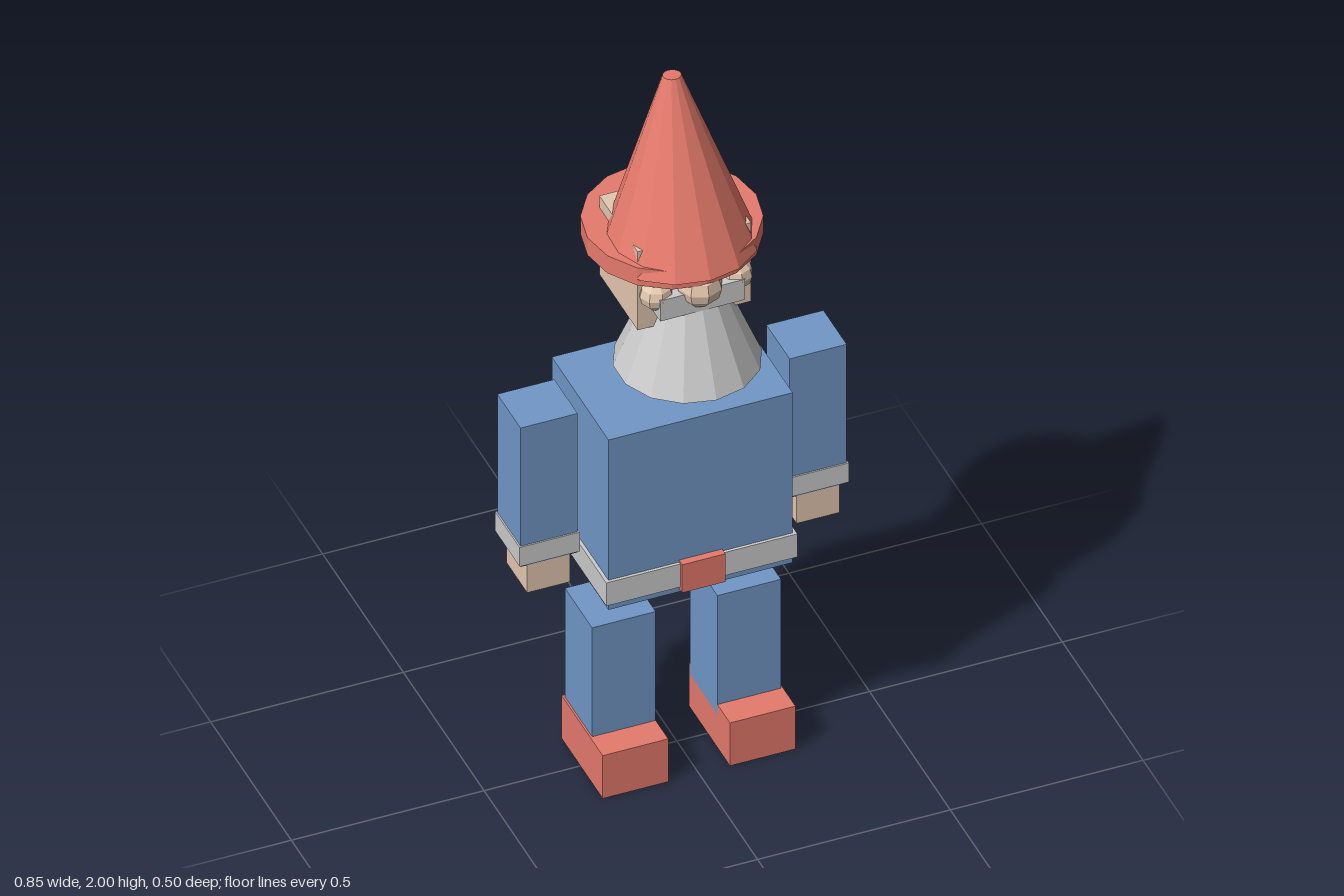
import * as THREE from 'three';

const mat = (color) => new THREE.MeshStandardMaterial({ color, flatShading: true });

export function createModel() {
  const model = new THREE.Group();
  const red = mat(0xe57a6c), blue = mat(0x7197c6), skin = mat(0xe4c8b0), grey = mat(0xcccccc);

  const add = (name, geometry, material, x, y, z) => {
    const mesh = new THREE.Mesh(geometry, material);
    mesh.name = name;
    mesh.position.set(x, y, z);
    model.add(mesh);
    return mesh;
  };
  // Box given by its lower and upper limits on each axis
  const box = (name, material, [x0, x1], [y0, y1], [z0, z1]) =>
    add(name, new THREE.BoxGeometry(x1 - x0, y1 - y0, z1 - z0), material,
      (x0 + x1) / 2, (y0 + y1) / 2, (z0 + z1) / 2);

  // Torso with a belt; the buckle runs through to the back
  box('torso', blue, [-0.239, 0.239], [0.575, 1.09], [-0.204, 0.147]);
  box('belt', grey, [-0.248, 0.248], [0.595, 0.665], [-0.213, 0.155]);
  box('buckle', red, [-0.056, 0.056], [0.586, 0.671], [-0.22, 0.167]);

  // Limbs, mirrored left and right
  for (const [side, s] of [['left', 1], ['right', -1]]) {
    const limb = (part, material, [x0, x1], y, z) =>
      box(side + part, material, s > 0 ? [x0, x1] : [-x1, -x0], y, z);
    limb('Arm', blue, [0.275, 0.423], [0.685, 1.106], [-0.102, 0.042]);
    limb('Cuff', grey, [0.271, 0.427], [0.69, 0.748], [-0.106, 0.046]);
    limb('Hand', skin, [0.294, 0.405], [0.6, 0.72], [-0.088, 0.04]);
    limb('Leg', blue, [0.08, 0.245], [0.1, 0.46], [-0.108, 0.06]);
    limb('Shoe', red, [0.08, 0.25], [0, 0.13], [-0.117, 0.138]);
    add(side + 'Cheek', new THREE.SphereGeometry(0.043, 8, 6), skin, s * 0.103, 1.474, 0.118);
  }

  // Head and face
  box('head', skin, [-0.147, 0.147], [1.367, 1.605], [-0.129, 0.108]);
  add('beard', new THREE.CylinderGeometry(0.083, 0.181, 0.24, 14), grey, 0, 1.33, 0.065);
  box('moustache', grey, [-0.11, 0.11], [1.42, 1.482], [0.09, 0.16]);
  add('nose', new THREE.SphereGeometry(0.057, 8, 6), skin, 0, 1.489, 0.143);

  // Level brim and a cone leaning slightly back
  add('hatBrim', new THREE.CylinderGeometry(0.219, 0.219, 0.053, 16), red, 0, 1.5435, -0.031);
  const cone = add('hatCone', new THREE.CylinderGeometry(0.023, 0.192, 0.475, 14), red, 0, 1.762, -0.007);
  cone.rotation.x = -0.1;

  return model;
}
